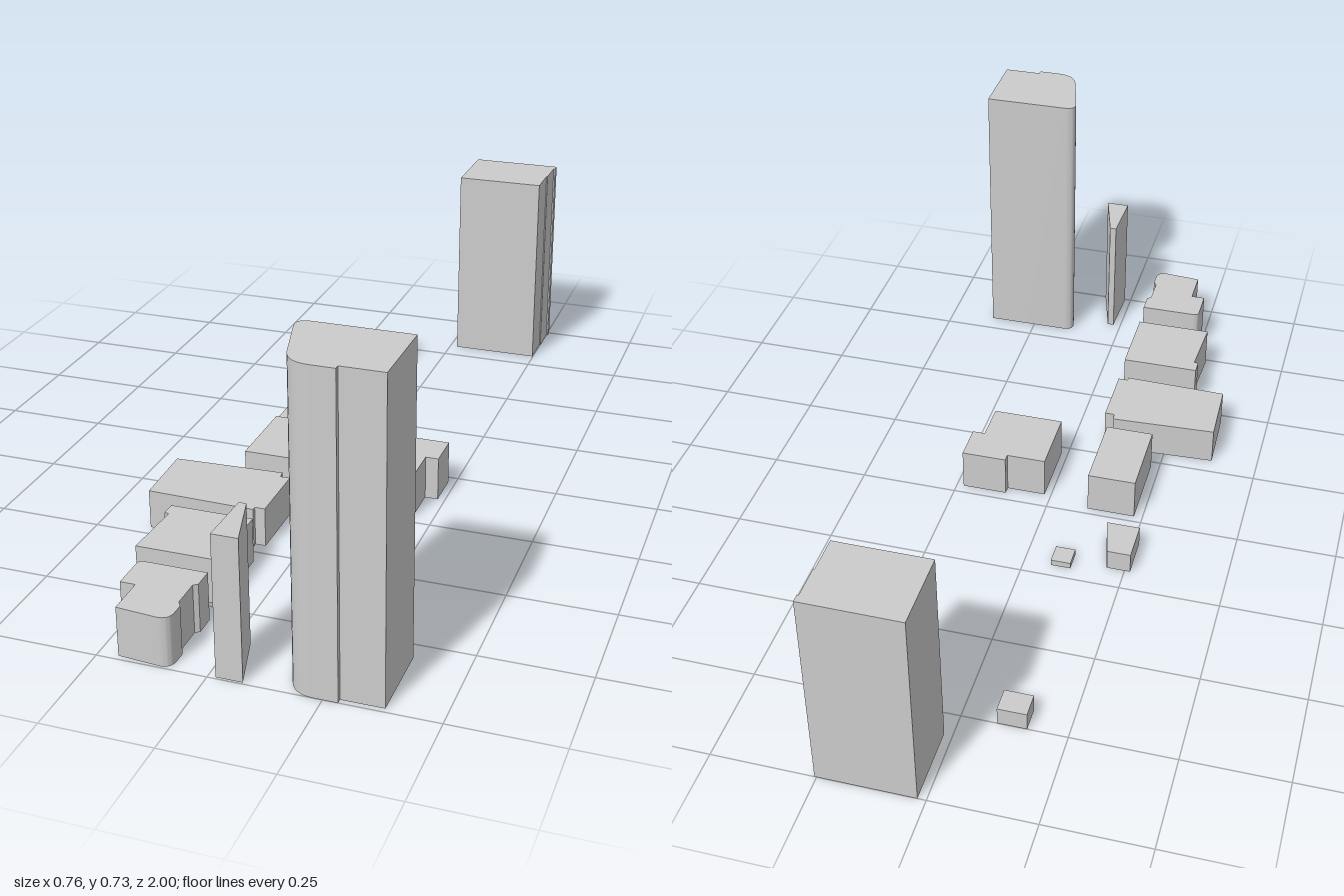
import * as THREE from 'three';
import { mergeGeometries, toCreasedNormals } from 'three/addons/utils/BufferGeometryUtils.js';

// Rectangular footprint
const rect = (x0, x1, z0, z1) => [[x0, z0], [x1, z0], [x1, z1], [x0, z1]];

// Each footprint corner is [x, z] or [x, z, radius] for a rounded corner
const BUILDINGS = [
  ['backTower', 0.522, [[0.02, -1], [0.255, -1], [0.255, -0.98], [0.251, -0.98], [0.251, -0.9],
    [0.248, -0.9], [0.248, -0.81], [0.02, -0.81]]],
  ['backShed', 0.046, rect(-0.155, -0.085, -0.75, -0.69)],
  ['lowShed', 0.016, rect(-0.118, -0.068, -0.213, -0.16)],
  ['wedgeHouse', 0.054, [[-0.264, -0.187], [-0.205, -0.187], [-0.18, -0.081], [-0.264, -0.081]]],
  ['plainHouse', 0.11, rect(-0.228, -0.105, 0.02, 0.23)],
  ['steppedHouse', 0.11, [[0.017, 0.046], [0.117, 0.046], [0.117, 0.026], [0.232, 0.026],
    [0.232, 0.12], [0.2, 0.12], [0.2, 0.221], [0.017, 0.221]]],
  ['wideHouse', 0.097, [[-0.38, 0.296], [-0.11, 0.284], [-0.107, 0.304], [-0.083, 0.304],
    [-0.083, 0.466], [-0.108, 0.466], [-0.108, 0.477], [-0.374, 0.47]]],
  ['notchedHouse', 0.11, [[-0.284, 0.54], [-0.083, 0.54], [-0.083, 0.735], [-0.281, 0.735],
    [-0.273, 0.577], [-0.284, 0.577]]],
  ['roundedHouse', 0.117, [[-0.241, 0.8, 0.014], [-0.08, 0.8], [-0.08, 0.85], [-0.09, 0.857],
    [-0.09, 0.927], [-0.081, 0.94], [-0.082, 0.997, 0.03], [-0.205, 0.987], [-0.205, 0.893],
    [-0.241, 0.893]]],
  ['slimTower', 0.333, [[0.021, 0.857], [0.038, 0.857], [0.077, 0.995], [0.017, 0.995]]],
  ['tallTower', 0.727, [[0.128, 0.8, 0.035], [0.378, 0.8], [0.378, 0.988], [0.283, 0.988],
    [0.283, 1], [0.182, 1, 0.05]]],
];

// Footprint outline with rounded corners, drawn in (x, -z)
function outline(corners) {
  const pts = corners.map(([x, z]) => new THREE.Vector2(x, -z));
  const n = pts.length;
  const out = [];
  pts.forEach((p, i) => {
    const r = corners[i][2];
    if (!r) { out.push(p); return; }
    const toward = (q) => p.clone().add(q.clone().sub(p).setLength(r));
    const curve = new THREE.QuadraticBezierCurve(toward(pts[(i + n - 1) % n]), p, toward(pts[(i + 1) % n]));
    out.push(...curve.getPoints(8));
  });
  return THREE.ShapeUtils.isClockWise(out) ? out.reverse() : out;
}

// Walls and flat roof, open underneath
function buildingGeometry(corners, height) {
  const pts = outline(corners);
  const pos = [];
  pts.forEach((a, i) => {
    const b = pts[(i + 1) % pts.length];
    const a0 = [a.x, 0, -a.y], b0 = [b.x, 0, -b.y];
    const a1 = [a.x, height, -a.y], b1 = [b.x, height, -b.y];
    pos.push(...a0, ...b0, ...b1, ...a0, ...b1, ...a1);
  });
  const walls = new THREE.BufferGeometry();
  walls.setAttribute('position', new THREE.Float32BufferAttribute(pos, 3));
  const roof = new THREE.ShapeGeometry(new THREE.Shape(pts)).toNonIndexed();
  roof.rotateX(-Math.PI / 2).translate(0, height, 0);
  roof.deleteAttribute('uv');
  roof.deleteAttribute('normal');
  return toCreasedNormals(mergeGeometries([walls, roof]), 0.45);
}

export function createModel() {
  const group = new THREE.Group();
  group.name = 'cityBlocks';
  const material = new THREE.MeshStandardMaterial({ color: 0xcccccc, side: THREE.DoubleSide });
  for (const [name, height, corners] of BUILDINGS) {
    const mesh = new THREE.Mesh(buildingGeometry(corners, height), material);
    mesh.name = name;
    group.add(mesh);
  }
  return group;
}
